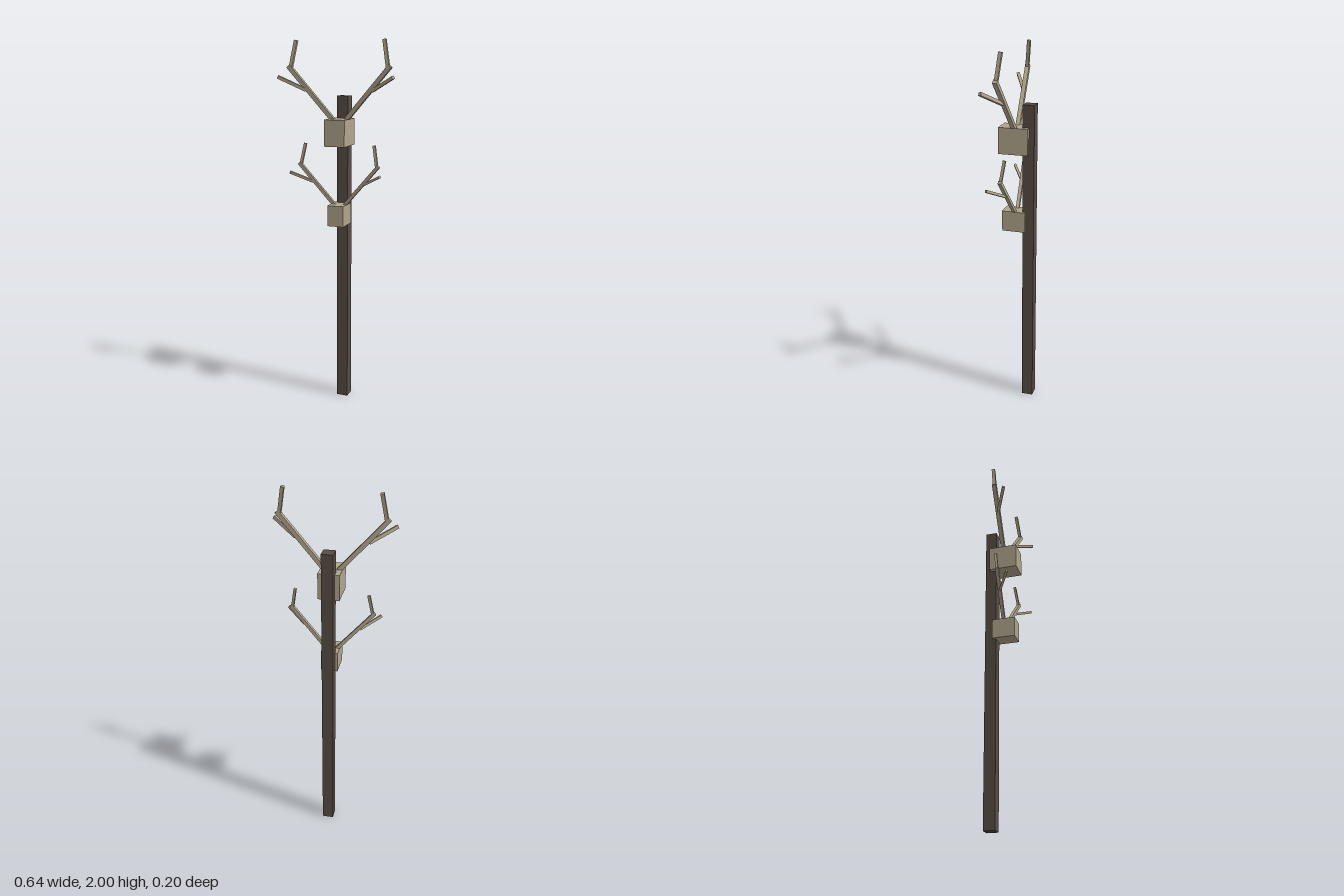
import * as THREE from 'three';

const bone = new THREE.MeshStandardMaterial({ color: 0xb0a58c });
bone.name = 'bone';
const wood = new THREE.MeshStandardMaterial({ color: 0x584c44 });
wood.name = 'darkWood';

function block(name, size, position, material) {
  const mesh = new THREE.Mesh(new THREE.BoxGeometry(...size), material);
  mesh.name = name;
  mesh.position.set(...position);
  return mesh;
}

// Square bar between two points, its front face turned as far to +z as possible
function bar(name, from, to, thickness) {
  const a = new THREE.Vector3(...from);
  const b = new THREE.Vector3(...to);
  const along = b.clone().sub(a);
  const mesh = block(name, [thickness, along.length(), thickness], [0, 0, 0], bone);
  along.normalize();
  const side = along.clone().cross(new THREE.Vector3(0, 0, 1)).normalize();
  const front = side.clone().cross(along);
  mesh.quaternion.setFromRotationMatrix(new THREE.Matrix4().makeBasis(side, along, front));
  mesh.position.copy(a).add(b).multiplyScalar(0.5);
  return mesh;
}

// Skull block with a mirrored pair of antlers; s scales it, y is its underside
function skull(name, y, s, depth) {
  const group = new THREE.Group();
  group.name = name;
  group.add(block('skullBlock', [0.113 * s, 0.14 * s, depth], [0, y + 0.07 * s, 0.008], bone));
  for (const [label, m] of [['left', 1], ['right', -1]]) {
    const at = (px, py, pz) => [m * px * s, y + py * s, pz];
    group.add(bar(label + 'AntlerBeam', at(0.034, 0.131, 0.006), at(0.28, 0.411, 0.025), 0.023 * s));
    group.add(bar(label + 'AntlerTip', at(0.269, 0.395, 0.025), at(0.242, 0.543, 0.008), 0.018 * s));
    group.add(bar(label + 'AntlerTine', at(0.185, 0.288, 0.019), at(0.314, 0.356, 0.089), 0.017 * s));
  }
  return group;
}

export function createModel() {
  const model = new THREE.Group();
  model.name = 'antlerPost';
  model.add(block('post', [0.062, 1.713, 0.062], [0, 0.8565, -0.069], wood));
  model.add(skull('upperSkull', 1.455, 1, 0.157));
  model.add(skull('lowerSkull', 1.027, 0.8, 0.127));
  return model;
}
